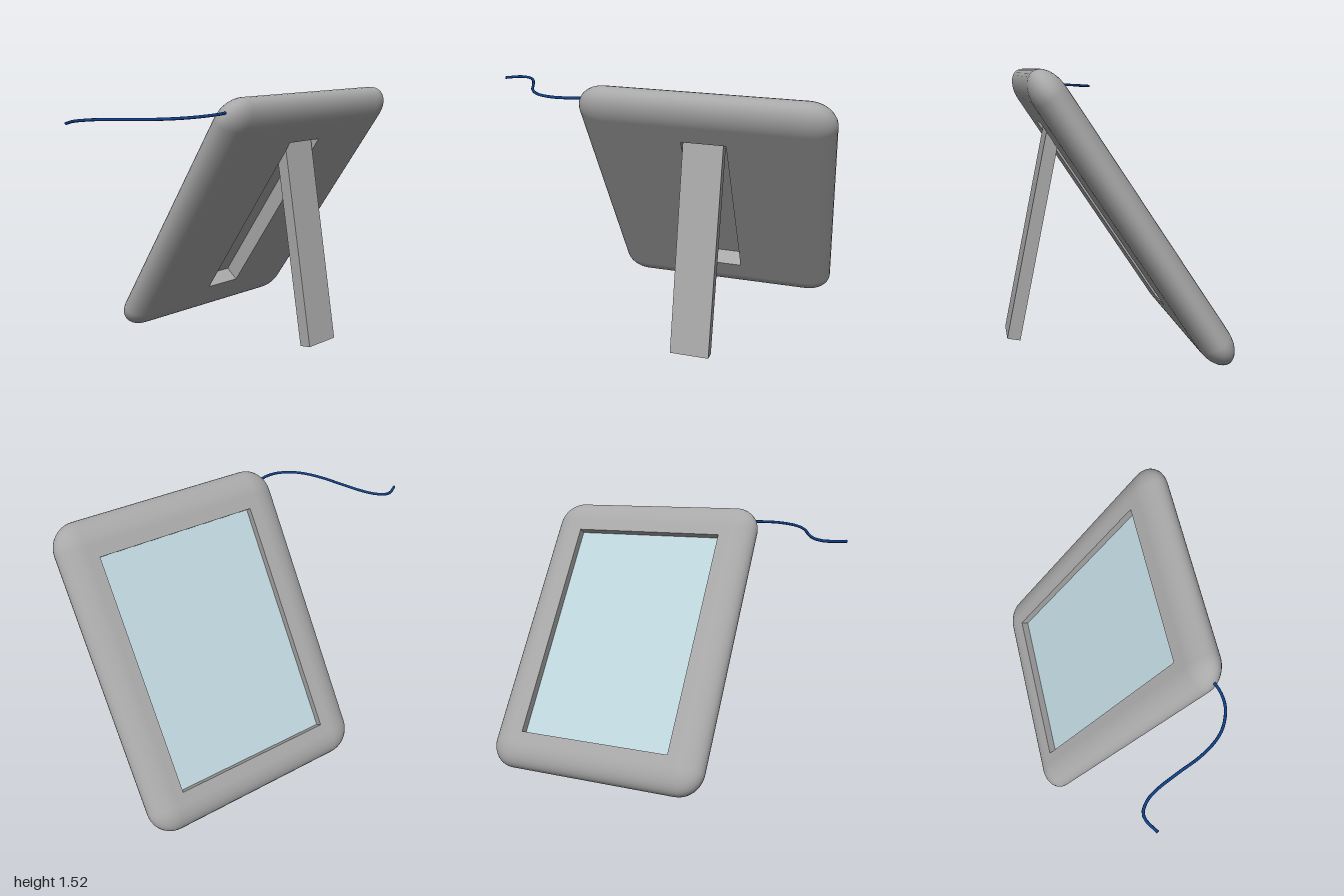
import * as THREE from 'three';

const HX = 0.533, HY = 0.746;   // half size of the flat faces
const EDGE = 0.15, HALF = 0.09; // width of the rounded edge, half thickness

function material(name, color) {
  const m = new THREE.MeshStandardMaterial({ color });
  m.name = name;
  return m;
}

function add(parent, name, geometry, mat, x = 0, y = 0, z = 0) {
  const mesh = new THREE.Mesh(geometry, mat);
  mesh.name = name;
  mesh.position.set(x, y, z);
  parent.add(mesh);
  return mesh;
}

// Elliptical rounded edge running around the rectangle
function roundedRim(rows = 16, cornerSteps = 10) {
  const pos = [], nor = [], idx = [];
  const signs = [[1, 1], [-1, 1], [-1, -1], [1, -1]];
  const cols = 4 * (cornerSteps + 1);
  const n = new THREE.Vector3();
  for (let j = 0; j <= rows; j++) {
    const phi = (j / rows - 0.5) * Math.PI;
    const c = Math.cos(phi), s = Math.sin(phi);
    signs.forEach(([sx, sy], q) => {
      for (let k = 0; k <= cornerSteps; k++) {
        const a = (q + k / cornerSteps) * Math.PI / 2;
        pos.push(sx * HX + EDGE * c * Math.cos(a), sy * HY + EDGE * c * Math.sin(a), HALF * s);
        n.set(c * Math.cos(a) / EDGE, c * Math.sin(a) / EDGE, s / HALF).normalize();
        nor.push(n.x, n.y, n.z);
      }
    });
  }
  for (let j = 0; j < rows; j++) {
    for (let i = 0; i < cols; i++) {
      const i2 = (i + 1) % cols;
      const a = j * cols + i, b = j * cols + i2;
      idx.push(a, b, b + cols, a, b + cols, a + cols);
    }
  }
  const g = new THREE.BufferGeometry();
  g.setAttribute('position', new THREE.Float32BufferAttribute(pos, 3));
  g.setAttribute('normal', new THREE.Float32BufferAttribute(nor, 3));
  g.setIndex(idx);
  return g;
}

function rectPoints(hx, hy, cy = 0) {
  return [[-hx, -hy], [hx, -hy], [hx, hy], [-hx, hy]].map(([x, y]) => new THREE.Vector2(x, y + cy));
}

// Flat face with a rectangular opening
function faceWithOpening(hx, hy, cy) {
  const shape = new THREE.Shape(rectPoints(HX, HY));
  shape.holes.push(new THREE.Path(rectPoints(hx, hy, cy).reverse()));
  return new THREE.ShapeGeometry(shape);
}

// Four inward-facing walls of a recess
function recessWalls(hx, hy, depth) {
  const g = new THREE.BoxGeometry(2 * hx, 2 * hy, depth);
  g.setIndex(Array.from(g.index.array).slice(0, 24));
  g.clearGroups();
  g.scale(-1, 1, 1);
  g.computeVertexNormals();
  return g;
}

export function createModel() {
  const grey = material('grey plastic', 0xa8a8a8);
  const glass = material('pale blue screen', 0xbcd5db);
  const navy = material('navy cable', 0x103f86);

  const model = new THREE.Group();
  model.name = 'tabletDisplay';

  // Leaning panel: local +z is its back, local -z carries the screen
  const panel = new THREE.Group();
  panel.name = 'panel';
  panel.position.set(0.315, 0.763, -0.043);
  panel.rotation.set(0.588, 0, -0.008);
  model.add(panel);
  add(panel, 'panelRim', roundedRim(), grey);

  // Screen side
  const sw = 0.477, sh = 0.68, sy = -0.008, sd = 0.045;
  add(panel, 'bezel', faceWithOpening(sw, sh, sy), grey, 0, 0, -HALF).rotation.y = Math.PI;
  add(panel, 'screenRecess', recessWalls(sw, sh, sd), grey, 0, sy, -HALF + sd / 2);
  add(panel, 'screen', new THREE.PlaneGeometry(2 * sw, 2 * sh), glass, 0, sy, -HALF + sd).rotation.y = Math.PI;

  // Back with the slot the stand folds into
  const tw = 0.122, th = 0.618, ty = 0.008, td = 0.1;
  add(panel, 'backPanel', faceWithOpening(tw, th, ty), grey, 0, 0, HALF);
  add(panel, 'standSlot', recessWalls(tw, th, td), grey, 0, ty, HALF - td / 2);
  add(panel, 'standSlotFloor', new THREE.PlaneGeometry(2 * tw, 2 * th), grey, 0, ty, HALF - td);

  // Kickstand
  const stand = add(model, 'stand', new THREE.BoxGeometry(0.22, 1.2, 0.073), grey, 0.308, 0.636, 0.418);
  stand.rotation.set(-0.197, 0, -0.005);

  // Cable
  const path = [
    [-0.28, 1.447, 0.39], [-0.33, 1.447, 0.415], [-0.4, 1.447, 0.437], [-0.48, 1.445, 0.437],
    [-0.57, 1.44, 0.4], [-0.63, 1.435, 0.345], [-0.69, 1.428, 0.25], [-0.74, 1.421, 0.13],
    [-0.8, 1.414, 0], [-0.84, 1.411, -0.055], [-0.89, 1.408, -0.087], [-0.93, 1.408, -0.083],
    [-0.998, 1.407, -0.04],
  ].map((p) => new THREE.Vector3(...p));
  const curve = new THREE.CatmullRomCurve3(path);
  add(model, 'cable', new THREE.TubeGeometry(curve, 40, 0.008, 8), navy);
  const tip = add(model, 'cableTip', new THREE.CircleGeometry(0.008, 8), navy, ...path[path.length - 1]);
  tip.quaternion.setFromUnitVectors(new THREE.Vector3(0, 0, 1), curve.getTangent(1));

  return model;
}
